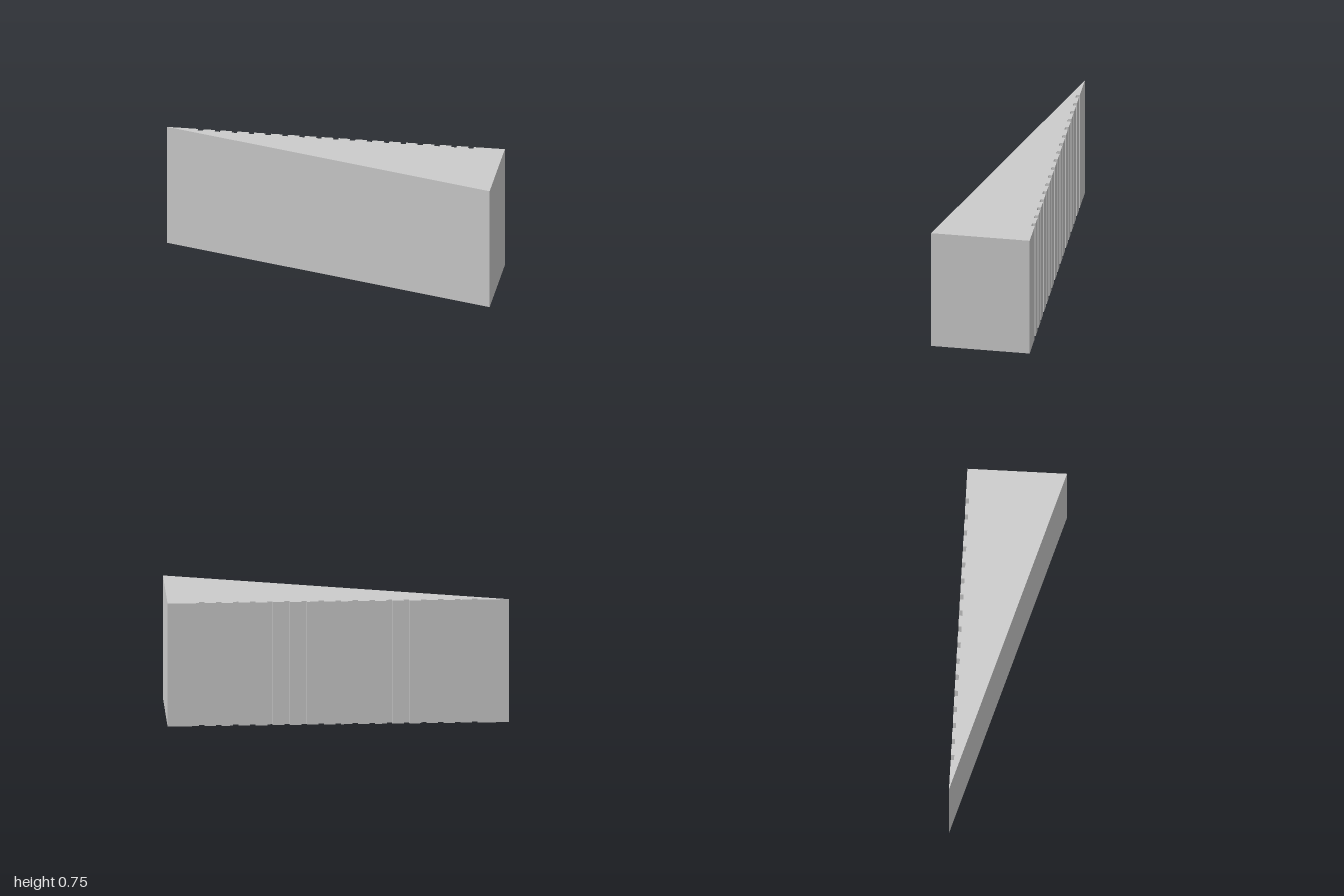
import * as THREE from 'three';

export function createModel() {
  const group = new THREE.Group();
  const height = 0.75, half = 0.292;
  const grooves = 17, pitch = 0.1, width = 0.032, depth = 0.02;

  // Wedge plan: sloping front face, full-depth end at +x, grooved straight back
  const plan = new THREE.Shape();
  plan.moveTo(-1, half);
  plan.lineTo(1, -half);
  plan.lineTo(1, half);
  for (let i = grooves - 1; i >= 0; i--) {
    const x = (i - (grooves - 1) / 2) * pitch;
    plan.lineTo(x + width / 2, half);
    plan.lineTo(x + width / 2, half - depth);
    plan.lineTo(x - width / 2, half - depth);
    plan.lineTo(x - width / 2, half);
  }
  plan.closePath();

  // Raise the plan to full height
  const geometry = new THREE.ExtrudeGeometry(plan, { depth: height, bevelEnabled: false });
  geometry.rotateX(-Math.PI / 2);

  const wedge = new THREE.Mesh(
    geometry,
    new THREE.MeshStandardMaterial({ color: 0xcccccc, flatShading: true })
  );
  wedge.name = 'groovedWedge';
  group.add(wedge);
  return group;
}
